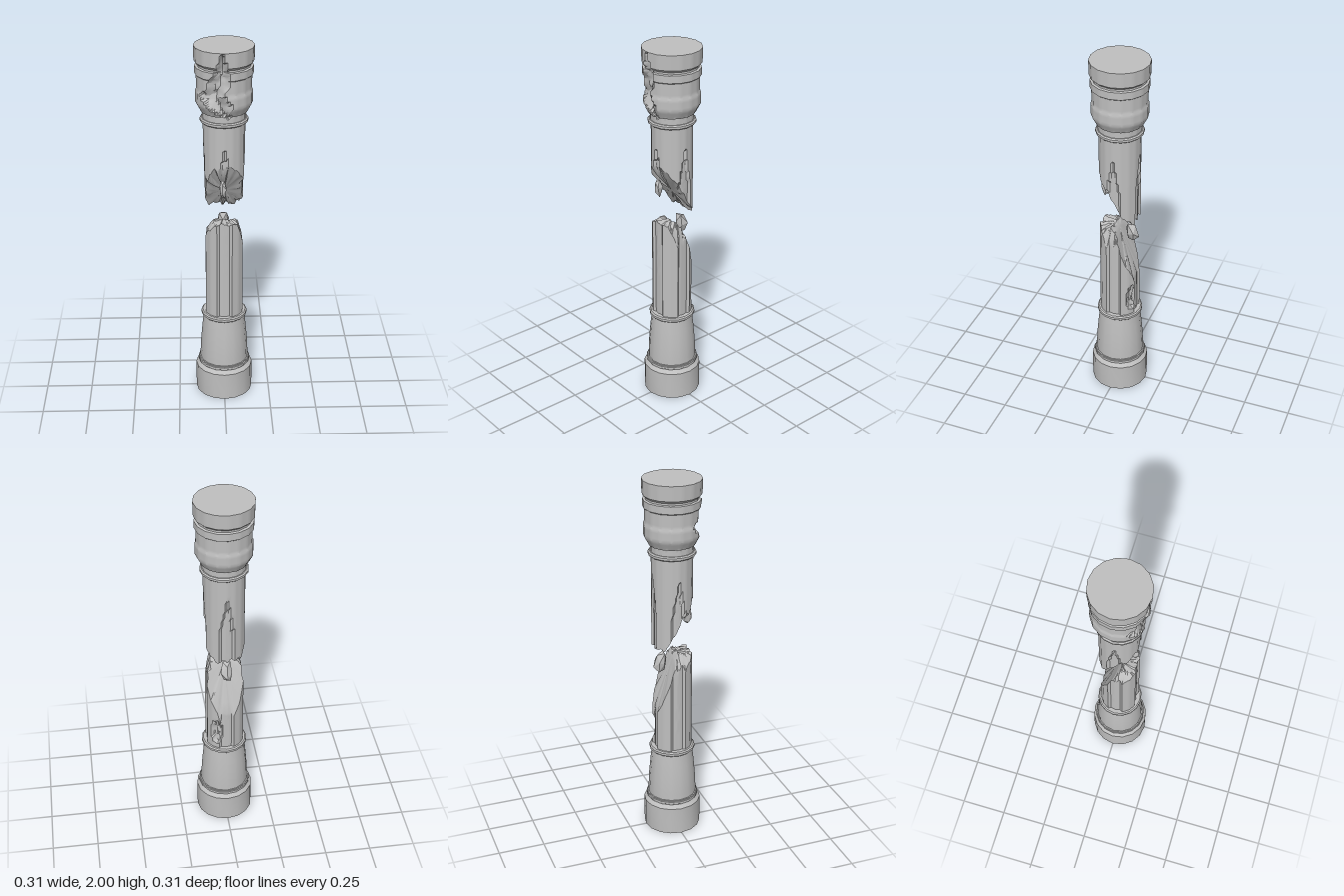
import * as THREE from 'three';
import { toCreasedNormals } from 'three/addons/utils/BufferGeometryUtils.js';

const SIDES = 16, COLS = 64;
const stone = new THREE.MeshStandardMaterial({ color: 0xbfbfbf });
stone.name = 'stone';

const { clamp, lerp } = THREE.MathUtils;
// repeatable roughness in -1..1
const rough = (a, b) => {
  const s = Math.sin(a * 127.1 + b * 311.7) * 43758.5453;
  return (s - Math.floor(s)) * 2 - 1;
};
// radius factor of a regular 16-sided outline
const facet = (t) => {
  const step = (Math.PI * 2) / SIDES;
  return Math.cos(step / 2) / Math.cos((((t % step) + step) % step) - step / 2);
};
// piecewise linear curve through [input, output] points
const curve = (pts, v) => {
  for (let i = 1; i < pts.length; i++) {
    const [a, b] = [pts[i - 1], pts[i]];
    if (v <= b[0]) return lerp(a[1], b[1], clamp((v - a[0]) / (b[0] - a[0]), 0, 1));
  }
  return pts[pts.length - 1][1];
};

function addMesh(group, name, geometry) {
  const mesh = new THREE.Mesh(geometry, stone);
  mesh.name = name;
  group.add(mesh);
  return mesh;
}

// closed-around surface; point(row, angle, column) gives a position
function skin(rows, point) {
  const pos = [], index = [];
  for (let i = 0; i <= rows; i++)
    for (let j = 0; j <= COLS; j++) pos.push(...point(i, ((j % COLS) / COLS) * Math.PI * 2, j % COLS));
  for (let i = 0; i < rows; i++)
    for (let j = 0; j < COLS; j++) {
      const a = i * (COLS + 1) + j, d = a + COLS + 1;
      index.push(a, a + 1, d + 1, a, d + 1, d);
    }
  const g = new THREE.BufferGeometry();
  g.setAttribute('position', new THREE.Float32BufferAttribute(pos, 3));
  g.setIndex(index);
  return toCreasedNormals(g, 0.5);
}

function lathe(profile) {
  const pts = profile.map(([r, y]) => new THREE.Vector2(r, y));
  return toCreasedNormals(new THREE.LatheGeometry(pts, SIDES), 0.6);
}

// shallow flutes on the four axes
const flute = (t, r, half) => {
  const off = Math.min(Math.abs(Math.sin(t)), Math.abs(Math.cos(t))) * r;
  return off < half ? 0.012 : 0;
};

// fracture heights of the two shaft halves
function lowerBreak(x, z) {
  const slope = curve([[-0.11, 0.68], [-0.09, 0.74], [-0.05, 0.87], [0.0, 1.02], [0.02, 1.05], [0.11, 1.045]], z);
  const side = curve([[-0.105, 0.93], [-0.09, 0.99], [-0.05, 1.05], [0.07, 1.05], [0.09, 0.98], [0.105, 0.87]], x);
  return Math.min(slope, side);
}
function upperBreak(x, z) {
  const h = curve([[-0.11, 1.09], [-0.07, 1.1], [0, 1.21], [0.07, 1.31], [0.105, 1.38]], z);
  return h + 0.25 * Math.max(0, Math.abs(x + 0.01) - 0.06);
}

function lowerShaft() {
  const wall = 16, cap = 5;
  return skin(wall + cap, (i, t, j) => {
    const s = Math.sin(t), c = Math.cos(t);
    const full = 0.107 * facet(t);
    const rim = full - flute(t, full, 0.04);
    const bump = 0.012 * rough(j >> 1, 3);
    const top = lowerBreak(rim * s, rim * c) + bump;
    if (i <= wall) {
      const y = lerp(0.47, top, i / wall);
      // small broken pocket low on the back
      const d = Math.hypot((t - 2.6) * 0.1 / 0.03, (y - 0.6) / 0.075);
      const r = rim - (d < 1 ? 0.022 * (1 - d * 0.5) + 0.005 * rough(i, j) : 0);
      return [r * s, y, r * c];
    }
    const k = 1 - (i - wall) / cap, r = rim * k;
    return [r * s, lowerBreak(r * s, r * c) + (k > 0 ? bump * k + 0.006 * rough(i, j >> 2) * k : 0), r * c];
  });
}

function upperShaft() {
  const wall = 22, cap = 5;
  return skin(wall + cap, (i, t, j) => {
    const s = Math.sin(t), c = Math.cos(t);
    const full = 0.109 * facet(t);
    const bump = 0.014 * rough(j >> 1, 8);
    const bottom = upperBreak(full * s, full * c) + bump;
    const y = lerp(bottom, 1.6, Math.max(0, i - cap) / wall);
    // flutes narrow to a point at the top
    const rim = full - flute(t, full, 0.036 * clamp((1.47 - y) / 0.2, 0, 1));
    if (i >= cap) return [rim * s, y, rim * c];
    const k = i / cap, r = rim * k;
    return [r * s, upperBreak(r * s, r * c) + bump * k + 0.008 * rough(i, j >> 2) * k, r * c];
  });
}

function capital() {
  const profile = [[0, 1.6], [0.113, 1.6], [0.113, 1.655], [0.122, 1.658], [0.147, 1.705], [0.147, 1.765],
    [0.142, 1.775], [0.142, 1.85], [0.15, 1.856], [0.15, 1.895], [0.138, 1.898], [0.138, 1.908],
    [0.153, 1.922], [0.155, 2], [0, 2]];
  const rings = [profile[0]];
  for (let i = 1; i < profile.length; i++) {
    const [a, b] = [profile[i - 1], profile[i]];
    const n = Math.max(1, Math.ceil((b[1] - a[1]) / 0.018));
    for (let k = 1; k <= n; k++) rings.push([lerp(a[0], b[0], k / n), lerp(a[1], b[1], k / n)]);
  }
  // jagged bite running down the front
  const left = [[1.65, 0.02], [1.7, -0.07], [1.76, -0.125], [1.8, -0.09], [1.84, -0.08], [1.9, -0.045], [1.985, -0.015]];
  const right = [[1.65, 0.03], [1.72, 0.03], [1.78, -0.01], [1.83, 0.02], [1.9, 0.015], [1.985, -0.012]];
  return skin(rings.length - 1, (i, t, j) => {
    let [r, y] = rings[i];
    const s = Math.sin(t), c = Math.cos(t);
    r *= facet(t);
    const x = r * s, l = curve(left, y), e = curve(right, y);
    if (r > 0 && c > 0 && y > 1.65 && y < 1.985 && x > l && x < e) {
      const u = (x - l) / (e - l);
      r = Math.min(r, 0.132) - 0.03 * (1 - Math.abs(u * 2 - 1)) + 0.006 * rough(i >> 1, j >> 1);
    }
    return [r * s, y, r * c];
  });
}

// loose angular fragment
function fragment(seed, size) {
  const g = new THREE.IcosahedronGeometry(1, 0);
  const p = g.attributes.position, v = new THREE.Vector3();
  for (let i = 0; i < p.count; i++) {
    v.fromBufferAttribute(p, i);
    const key = Math.round(v.x * 10) + Math.round(v.y * 10) * 3.7 + Math.round(v.z * 10) * 7.3;
    v.multiplyScalar(1 + 0.22 * rough(key, seed));
    p.setXYZ(i, v.x * size[0], v.y * size[1], v.z * size[2]);
  }
  g.computeVertexNormals();
  return g;
}

export function createModel() {
  const group = new THREE.Group();
  group.name = 'brokenColumn';

  // foot and flared pedestal
  addMesh(group, 'base', lathe([[0, 0], [0.155, 0], [0.155, 0.155], [0.138, 0.175], [0.138, 0.2], [0, 0.2]]));
  addMesh(group, 'pedestal', lathe([[0.132, 0.18], [0.131, 0.23], [0.127, 0.31], [0.119, 0.4], [0.11, 0.48], [0, 0.48]]));

  // rounded bands
  const bands = [['baseBand', 0.187, 0.142, 0.012], ['lowerBand', 0.482, 0.124, 0.013], ['upperBand', 1.61, 0.125, 0.012]];
  for (const [name, y, r, h] of bands) {
    addMesh(group, name, lathe([[0.09, y - h], [r - 0.007, y - h], [r, y - h * 0.5], [r, y + h * 0.5], [r - 0.007, y + h], [0.09, y + h]]));
  }

  // split shaft and capital
  addMesh(group, 'lowerShaft', lowerShaft());
  addMesh(group, 'upperShaft', upperShaft());
  addMesh(group, 'capital', capital());

  // floating fragments in the gap
  const front = addMesh(group, 'frontFragment', fragment(2, [0.02, 0.058, 0.026]));
  front.position.set(-0.01, 1.255, 0.085);
  const back = addMesh(group, 'backFragment', fragment(5, [0.036, 0.062, 0.034]));
  back.position.set(-0.005, 0.998, -0.066);
  back.rotation.x = 0.3;
  return group;
}
